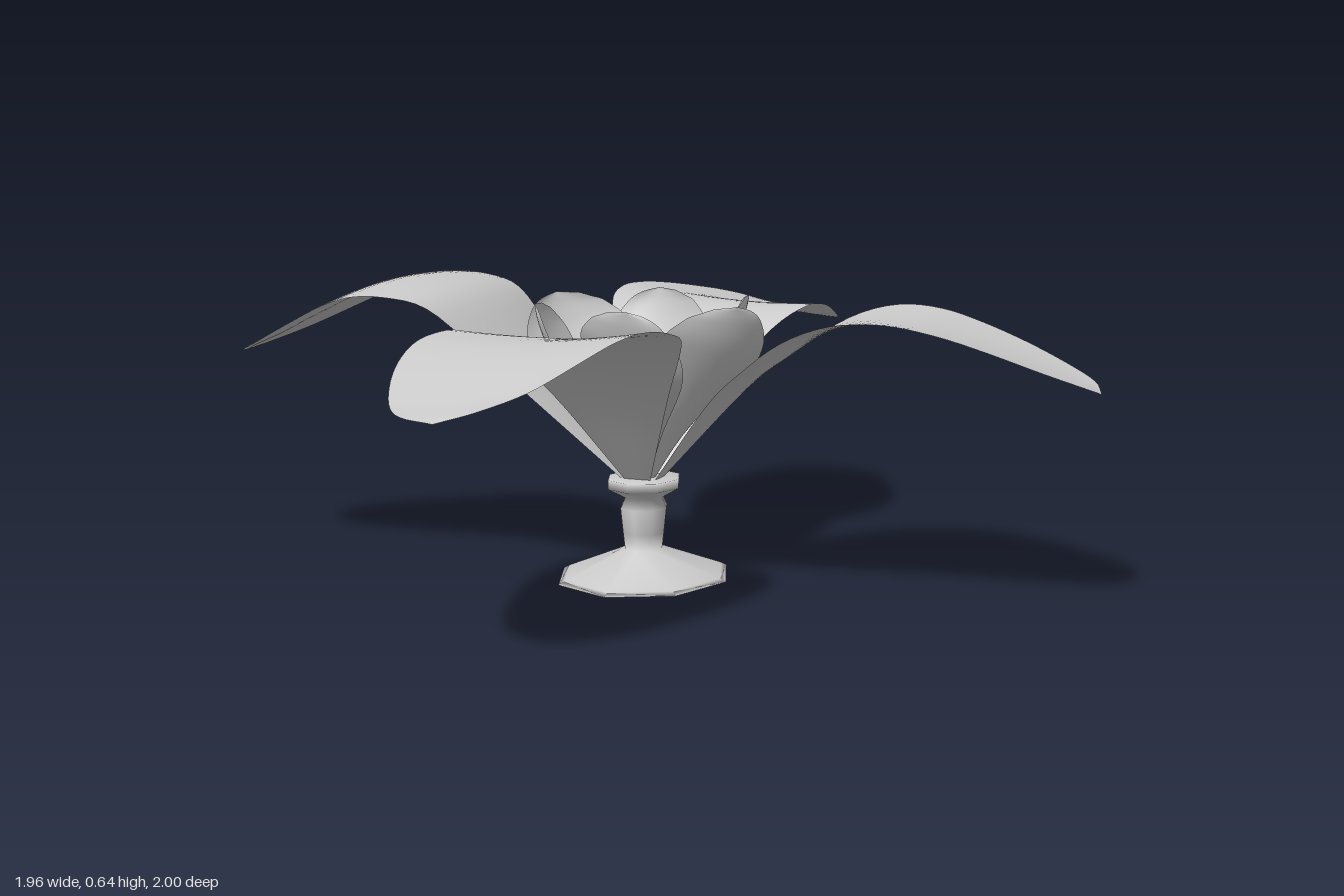
import * as THREE from 'three';

const material = new THREE.MeshStandardMaterial({ color: 0xcccccc, side: THREE.DoubleSide });

// Thin curved petal. Profile points are (radius, height, half width);
// cup and tilt bend the cross-section along the normal of the centreline.
function petalGeometry(profile, angle, { cup = 0, tilt = 0, tiltFrom = 0, tiltTo = 0.01 }, rows = 40, cols = 14) {
  const curve = new THREE.CatmullRomCurve3(profile.map(p => new THREE.Vector3(...p)), false, 'catmullrom', 0.5);
  const widest = Math.max(...profile.map(p => p[2]));
  const c = Math.cos(angle), s = Math.sin(angle);
  const positions = [], index = [];
  for (let i = 0; i <= rows; i++) {
    const t = i / rows;
    const p = curve.getPoint(t);
    const d = curve.getPoint(Math.min(1, t + 0.01)).sub(curve.getPoint(Math.max(0, t - 0.01)));
    const len = Math.hypot(d.x, d.y) || 1;
    const half = Math.max(0, p.z);
    const k = half / widest;
    const twist = tilt * THREE.MathUtils.smoothstep(p.x, tiltFrom, tiltTo);
    for (let j = 0; j <= cols; j++) {
      const v = (j / cols) * 2 - 1;
      const bend = k * (cup * v * v + twist * v);
      const r = p.x - (d.y / len) * bend;
      const y = p.y + (d.x / len) * bend;
      positions.push(c * r - s * half * v, y, s * r + c * half * v);
    }
  }
  for (let i = 0; i < rows; i++) {
    for (let j = 0; j < cols; j++) {
      const a = i * (cols + 1) + j, b = a + cols + 1;
      index.push(a, a + 1, b, a + 1, b + 1, b);
    }
  }
  const geometry = new THREE.BufferGeometry();
  geometry.setAttribute('position', new THREE.Float32BufferAttribute(positions, 3));
  geometry.setIndex(index);
  geometry.computeVertexNormals();
  return geometry;
}

export function createModel() {
  const group = new THREE.Group();
  const add = (name, geometry) => {
    const mesh = new THREE.Mesh(geometry, material);
    mesh.name = name;
    group.add(mesh);
    return mesh;
  };

  // Turned foot, stem and collar with few sides
  const footProfile = [
    [0, 0], [0.225, 0.003], [0.21, 0.01], [0.05, 0.065], [0.055, 0.1], [0.062, 0.155],
    [0.05, 0.178], [0.095, 0.2], [0.095, 0.22], [0.02, 0.222], [0, 0.222],
  ].map(([r, y]) => new THREE.Vector2(r, y));
  const foot = add('footAndStem', new THREE.LatheGeometry(footProfile, 8));
  foot.scale.x = 0.84;

  // Four large spreading petals sharing one outline
  const radii = [0.04, 0.2, 0.3, 0.4, 0.5, 0.6, 0.7, 0.8, 0.9, 0.97, 1];
  const widths = [0.03, 0.13, 0.19, 0.235, 0.25, 0.245, 0.225, 0.19, 0.14, 0.08, 0];
  const outer = [
    { name: 'leftPetal', angle: 0, reach: 0.98, cup: 0.015, tilt: 0.015,
      heights: [0.22, 0.4, 0.48, 0.545, 0.578, 0.58, 0.56, 0.53, 0.495, 0.47, 0.455] },
    { name: 'frontPetal', angle: Math.PI / 2, reach: 1, cup: 0.01, tilt: -0.035,
      heights: [0.22, 0.42, 0.51, 0.565, 0.58, 0.583, 0.57, 0.545, 0.515, 0.5, 0.49] },
    { name: 'rightPetal', angle: Math.PI, reach: 0.98, cup: -0.015, tilt: 0.01,
      heights: [0.22, 0.4, 0.51, 0.605, 0.632, 0.63, 0.597, 0.55, 0.5, 0.467, 0.45] },
    { name: 'backPetal', angle: -Math.PI / 2, reach: 1, cup: 0.01, tilt: -0.04,
      heights: [0.22, 0.42, 0.51, 0.55, 0.555, 0.54, 0.523, 0.513, 0.503, 0.49, 0.467] },
  ];
  for (const { name, angle, reach, heights, ...bend } of outer) {
    const profile = radii.map((r, i) => [r * reach, heights[i], widths[i]]);
    add(name, petalGeometry(profile, angle, { ...bend, tiltFrom: 0.35, tiltTo: 0.75 }));
  }

  // Six upright inner petals, each turned like a pinwheel
  const innerProfile = [
    [0.025, 0.22, 0.015], [0.085, 0.32, 0.05], [0.145, 0.41, 0.09], [0.19, 0.475, 0.112],
    [0.22, 0.525, 0.108], [0.238, 0.57, 0.08], [0.244, 0.595, 0.045], [0.246, 0.606, 0],
  ];
  for (let i = 0; i < 6; i++) {
    const angle = THREE.MathUtils.degToRad(17 + i * 60);
    add('innerPetal', petalGeometry(innerProfile, angle, { cup: 0.03, tilt: 0.05, tiltFrom: 0.03, tiltTo: 0.2 }, 24, 10));
  }

  // Pistil in the centre
  const pistil = add('pistil', new THREE.CylinderGeometry(0.022, 0.015, 0.16, 6));
  pistil.position.y = 0.29;

  return group;
}
